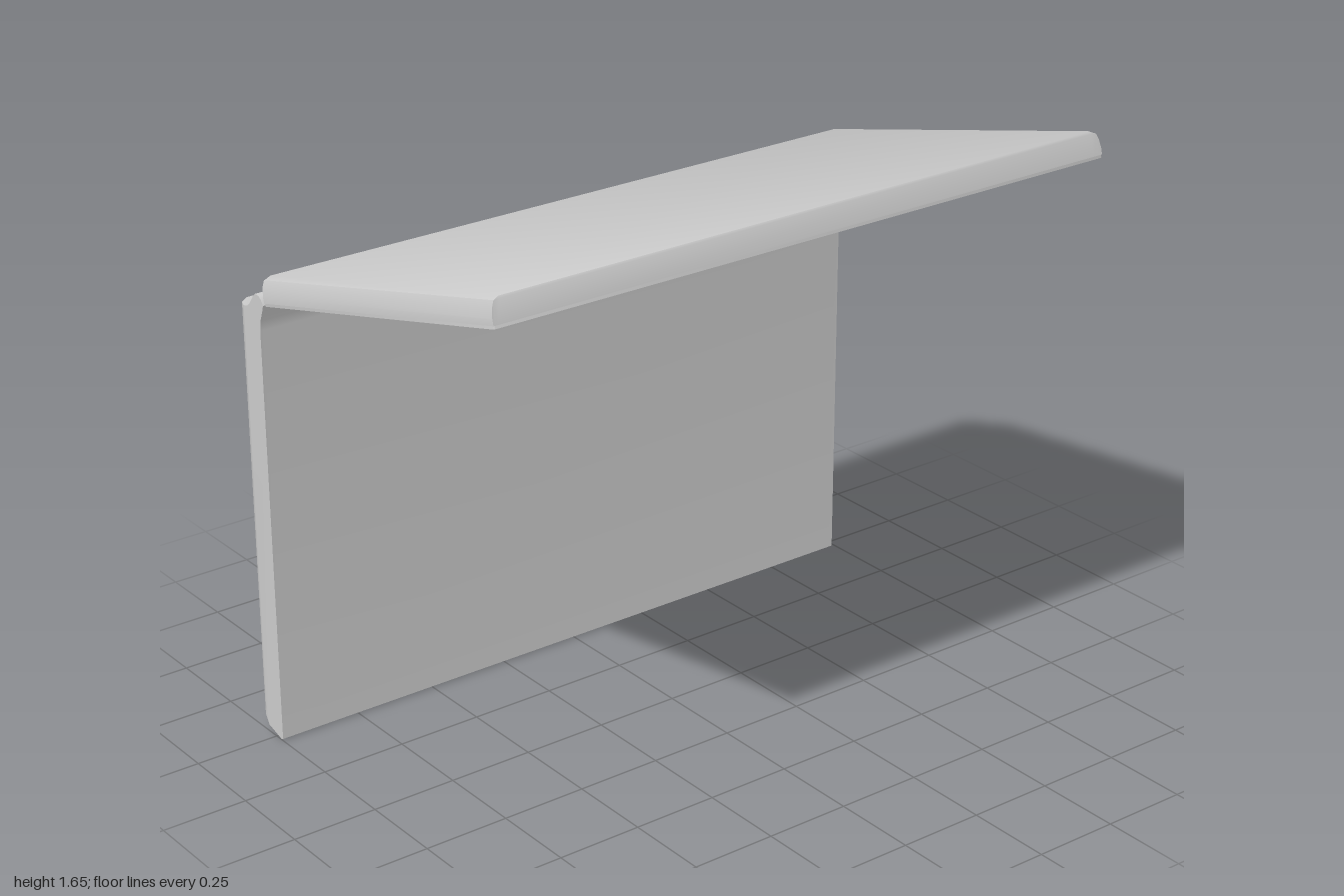
import * as THREE from 'three';
import { toCreasedNormals } from 'three/addons/utils/BufferGeometryUtils.js';

const material = new THREE.MeshStandardMaterial({ color: 0xcccccc });

function part(name, geometry) {
  const mesh = new THREE.Mesh(toCreasedNormals(geometry, 0.6), material);
  mesh.name = name;
  return mesh;
}

const outline = (points) => new THREE.Shape(points.map(([a, b]) => new THREE.Vector2(a, b)));

function roundedRect(path, x0, y0, x1, y1, r) {
  path.moveTo(x0 + r, y0);
  path.lineTo(x1 - r, y0).quadraticCurveTo(x1, y0, x1, y0 + r);
  path.lineTo(x1, y1 - r).quadraticCurveTo(x1, y1, x1 - r, y1);
  path.lineTo(x0 + r, y1).quadraticCurveTo(x0, y1, x0, y1 - r);
  path.lineTo(x0, y0 + r).quadraticCurveTo(x0, y0, x0 + r, y0);
  return path;
}

// Runs a (z, y) profile along x through the given stations; the limit function
// trims each section so that the ends taper.
function sweep(profile, stations, limit) {
  const steps = stations.length - 1;
  const g = new THREE.ExtrudeGeometry(outline(profile), { depth: steps, steps, bevelEnabled: false });
  g.rotateY(-Math.PI / 2);
  const p = g.attributes.position;
  const v = new THREE.Vector3();
  for (let i = 0; i < p.count; i++) {
    v.fromBufferAttribute(p, i);
    const k = steps - Math.round(-v.x); // station 0 is the -x end
    v.x = stations[k];
    limit(v, Math.min(k, steps - k));
    p.setXYZ(i, v.x, v.y, v.z);
  }
  return g;
}

export function createModel() {
  const model = new THREE.Group();
  model.name = 'foldingComputer';

  // Upright base with a rounded lower edge and a flared hinge ridge on top
  const baseProfile = [
    [-0.47, 0.003], [-0.478, 0], [-0.49, 0.003], [-0.54, 0.017], [-0.575, 0.033], [-0.6, 0.05],
    [-0.608, 0.065], [-0.61, 0.08], [-0.61, 1.255], [-0.606, 1.267], [-0.595, 1.272],
    [-0.548, 1.273], [-0.532, 1.277], [-0.518, 1.288], [-0.498, 1.315], [-0.488, 1.324],
    [-0.47, 1.324], [-0.458, 1.316], [-0.449, 1.302], [-0.454, 1.285], [-0.466, 1.255],
    [-0.47, 1.225],
  ];
  const backLimit = [-0.55, -0.575, -0.61];
  model.add(part('base', sweep(baseProfile, [-0.998, -0.988, -0.955, 0.945, 0.978, 0.988], (v, k) => {
    v.z = Math.max(v.z, backLimit[Math.min(k, 2)]);
  })));

  // Raised port housing filling the chamfer on the left side, with a long slot
  const housing = outline([[-0.6, 0.57], [-0.555, 0.6], [-0.545, 0.62], [-0.545, 1.12], [-0.555, 1.14], [-0.6, 1.16]]);
  housing.holes.push(roundedRect(new THREE.Path(), -0.596, 0.62, -0.58, 1.12, 0.006));
  const housingGeometry = new THREE.ExtrudeGeometry(housing, {
    depth: 0.05, bevelThickness: 0.009, bevelSize: 0.009, bevelOffset: 0, bevelSegments: 2, curveSegments: 4,
  });
  housingGeometry.rotateY(-Math.PI / 2); // the extrusion now runs towards -x
  housingGeometry.translate(0.991, 0, 0);
  model.add(part('portHousing', housingGeometry));

  // Tilted lid, in its own frame: z runs from hinge to free edge, y is thickness
  const lid = new THREE.Group();
  lid.name = 'lid';
  lid.position.set(0, 1.3, -0.447);
  lid.rotation.x = -Math.atan2(0.28, 1.055);
  model.add(lid);

  const length = 1.093, bezel = 0.008, thick = 0.077;
  const lidProfile = [
    [0, bezel], [length, bezel], [length, thick - 0.008], [length - 0.003, thick - 0.002],
    [length - 0.009, thick], [0.009, thick], [0.003, thick - 0.002], [0, thick - 0.008],
  ];
  const topLimit = [0.025, 0.05, 0.068, thick];
  lid.add(part('lidShell', sweep(lidProfile, [-0.994, -0.99, -0.982, -0.965, 0.952, 0.969, 0.977, 0.981],
    (v, k) => { v.y = Math.min(v.y, topLimit[Math.min(k, 3)]); })));

  // Bezel around the shallow recessed screen on the underside
  const frame = roundedRect(new THREE.Shape(), -0.994, 0, 0.981, length, 0.008);
  frame.holes.push(roundedRect(new THREE.Path(), -0.95, 0.11, 0.94, 1.02, 0.012));
  const frameGeometry = new THREE.ExtrudeGeometry(frame, { depth: bezel, bevelEnabled: false, curveSegments: 4 });
  frameGeometry.rotateX(Math.PI / 2);
  frameGeometry.translate(0, bezel, 0);
  lid.add(part('screenBezel', frameGeometry));

  // Slim finger grip along the hinge side of the base front
  const grip = new THREE.CapsuleGeometry(0.006, 0.58, 4, 10);
  grip.rotateZ(Math.PI / 2);
  grip.translate(0, 1.245, -0.471);
  model.add(part('frontGrip', grip));

  return model;
}
